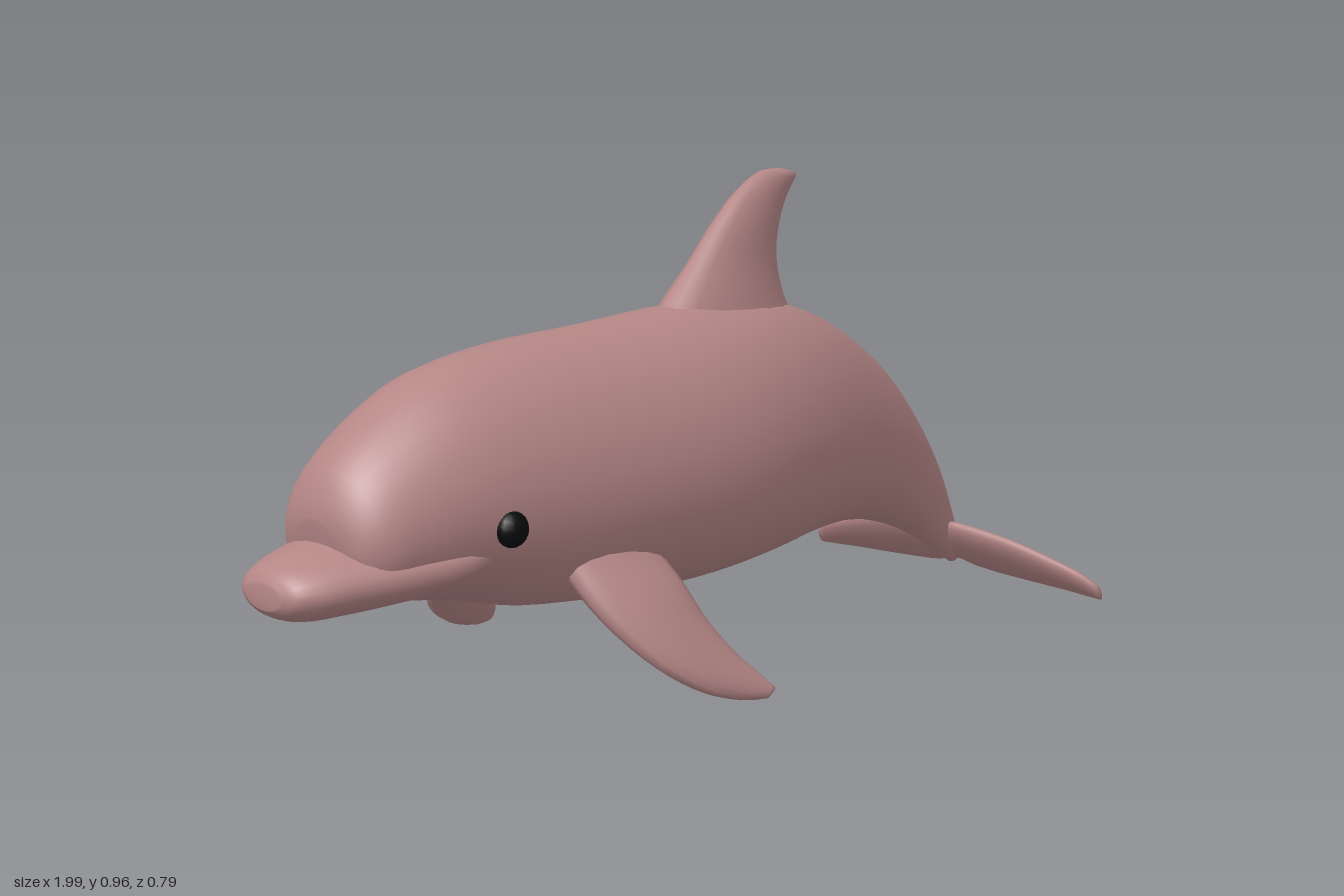
import * as THREE from 'three';

const skin = new THREE.MeshStandardMaterial({ color: 0xb58686 });
skin.name = 'dusty rose skin';
const black = new THREE.MeshStandardMaterial({ color: 0x0a0a0a });
black.name = 'eye black';

// Oval ring through points a and b, bulging by vector side; sag lowers the widest line
function ring(a, b, side, count, sag = 0) {
  const mid = a.clone().add(b).multiplyScalar(0.5);
  const half = a.clone().sub(b).multiplyScalar(0.5);
  return Array.from({ length: count }, (_, j) => {
    const t = (j / count) * Math.PI * 2;
    return mid.clone()
      .addScaledVector(half, Math.cos(t) - sag * Math.sin(t) ** 2)
      .addScaledVector(side, Math.sin(t));
  });
}

// Smooth closed skin through a row of rings
function loft(name, rings, steps) {
  const count = rings[0].length;
  const rows = (rings.length - 1) * steps;
  const pos = [];
  const index = [];
  const curves = rings[0].map((_, j) => new THREE.CatmullRomCurve3(rings.map((r) => r[j])));
  for (let i = 0; i <= rows; i++) {
    for (const c of curves) pos.push(...c.getPoint(i / rows).toArray());
  }
  for (let i = 0; i < rows; i++) {
    for (let j = 0; j < count; j++) {
      const a = i * count + j, b = i * count + (j + 1) % count;
      index.push(a, b, a + count, b, b + count, a + count);
    }
  }
  // end caps
  for (const [row, flip] of [[0, false], [rows, true]]) {
    const c = new THREE.Vector3();
    for (let j = 0; j < count; j++) c.add(new THREE.Vector3().fromArray(pos, (row * count + j) * 3));
    const centre = pos.length / 3;
    pos.push(...c.divideScalar(count).toArray());
    for (let j = 0; j < count; j++) {
      const a = row * count + j, b = row * count + (j + 1) % count;
      index.push(centre, flip ? a : b, flip ? b : a);
    }
  }
  // turn the faces outward if the signed volume is negative
  let volume = 0;
  const p = (k) => new THREE.Vector3().fromArray(pos, index[k] * 3);
  for (let k = 0; k < index.length; k += 3) volume += p(k).dot(p(k + 1).cross(p(k + 2)));
  if (volume < 0) index.reverse();

  const geo = new THREE.BufferGeometry();
  geo.setAttribute('position', new THREE.Float32BufferAttribute(pos, 3));
  geo.setIndex(index);
  geo.computeVertexNormals();
  const mesh = new THREE.Mesh(geo, skin);
  mesh.name = name;
  return mesh;
}

const v = (x, y, z = 0) => new THREE.Vector3(x, y, z);

export function createModel() {
  const group = new THREE.Group();
  group.name = 'dolphin';

  // Body: back point x, y, belly point x, y, half width
  const body = [
    [-0.888, 0.43, -0.875, 0.36, 0.05],
    [-0.882, 0.465, -0.86, 0.31, 0.1],
    [-0.855, 0.52, -0.82, 0.275, 0.138],
    [-0.78, 0.585, -0.75, 0.265, 0.165],
    [-0.65, 0.655, -0.62, 0.243, 0.195],
    [-0.48, 0.688, -0.45, 0.2, 0.22],
    [-0.2, 0.702, -0.2, 0.175, 0.238],
    [0.05, 0.715, 0.03, 0.17, 0.235],
    [0.25, 0.705, 0.22, 0.18, 0.207],
    [0.42, 0.655, 0.36, 0.195, 0.172],
    [0.6, 0.55, 0.5, 0.198, 0.13],
    [0.74, 0.42, 0.62, 0.18, 0.095],
    [0.85, 0.28, 0.75, 0.135, 0.06],
    [0.92, 0.15, 0.85, 0.08, 0.035],
    [0.965, 0.06, 0.93, 0.03, 0.015],
  ];
  group.add(loft('body', body.map(([tx, ty, bx, by, w]) =>
    ring(v(tx, ty), v(bx, by), v(0, 0, w), 32, 0.12)), 4));

  // Beak: x, top, bottom, half width
  const beak = [
    [-1, 0.34, 0.295, 0.045],
    [-0.985, 0.36, 0.28, 0.078],
    [-0.95, 0.376, 0.267, 0.103],
    [-0.88, 0.392, 0.265, 0.128],
    [-0.78, 0.405, 0.268, 0.16],
    [-0.68, 0.41, 0.28, 0.18],
    [-0.58, 0.405, 0.32, 0.17],
  ];
  group.add(loft('beak', beak.map(([x, t, b, w]) =>
    ring(v(x, t), v(x, b), v(0, 0, w), 24)), 4));

  // Dorsal fin: front x, y, rear x, y, half thickness
  const dorsal = [
    [-0.06, 0.66, 0.4, 0.6, 0.085],
    [-0.01, 0.72, 0.33, 0.7, 0.065],
    [0.06, 0.79, 0.308, 0.79, 0.046],
    [0.13, 0.865, 0.32, 0.86, 0.036],
    [0.2, 0.925, 0.345, 0.91, 0.028],
    [0.27, 0.96, 0.368, 0.938, 0.021],
    [0.325, 0.963, 0.376, 0.948, 0.012],
  ];
  group.add(loft('dorsalFin', dorsal.map(([fx, fy, rx, ry, t]) =>
    ring(v(fx, fy), v(rx, ry), v(0, 0, t), 16)), 4));

  // Flippers: leading x, y, z, trailing x, y, z, half thickness
  const flipper = [
    [-0.46, 0.32, 0.15, -0.2, 0.28, 0.15, 0.055],
    [-0.425, 0.21, 0.24, -0.215, 0.235, 0.235, 0.042],
    [-0.36, 0.12, 0.318, -0.2, 0.17, 0.285, 0.031],
    [-0.28, 0.065, 0.36, -0.17, 0.11, 0.33, 0.024],
    [-0.195, 0.037, 0.382, -0.135, 0.065, 0.368, 0.016],
    [-0.145, 0.031, 0.392, -0.122, 0.045, 0.388, 0.008],
  ];
  for (const [name, s] of [['rightFlipper', -1], ['leftFlipper', 1]]) {
    group.add(loft(name, flipper.map(([ax, ay, az, bx, by, bz, t]) =>
      ring(v(ax, ay, az * s), v(bx, by, bz * s), v(0, 0.6 * t, 0.8 * t * s), 16)), 4));
  }

  // Tail flukes, one half: z, leading x, y, trailing x, y, half thickness
  const fluke = [
    [0.02, 0.872, 0.135, 0.968, 0.035, 0.024],
    [0.06, 0.87, 0.135, 0.985, 0.02, 0.026],
    [0.18, 0.884, 0.118, 0.985, 0.012, 0.024],
    [0.29, 0.903, 0.088, 0.975, 0.01, 0.019],
    [0.36, 0.92, 0.062, 0.965, 0.008, 0.014],
    [0.394, 0.935, 0.04, 0.955, 0.008, 0.008],
  ];
  const flukeRow = (s) => fluke.map(([z, ax, ay, bx, by, t]) =>
    ring(v(ax, ay, z * s), v(bx, by, z * s), v(0.75 * t, 0.65 * t, 0), 16));
  group.add(loft('tailFlukes', [...flukeRow(-1).reverse(), ...flukeRow(1)], 3));

  // Eyes
  for (const [name, s] of [['rightEye', -1], ['leftEye', 1]]) {
    const eye = new THREE.Mesh(new THREE.SphereGeometry(1, 16, 10), black);
    eye.name = name;
    eye.scale.set(0.033, 0.033, 0.026);
    eye.position.set(-0.605, 0.4, 0.197 * s);
    group.add(eye);
  }
  return group;
}
